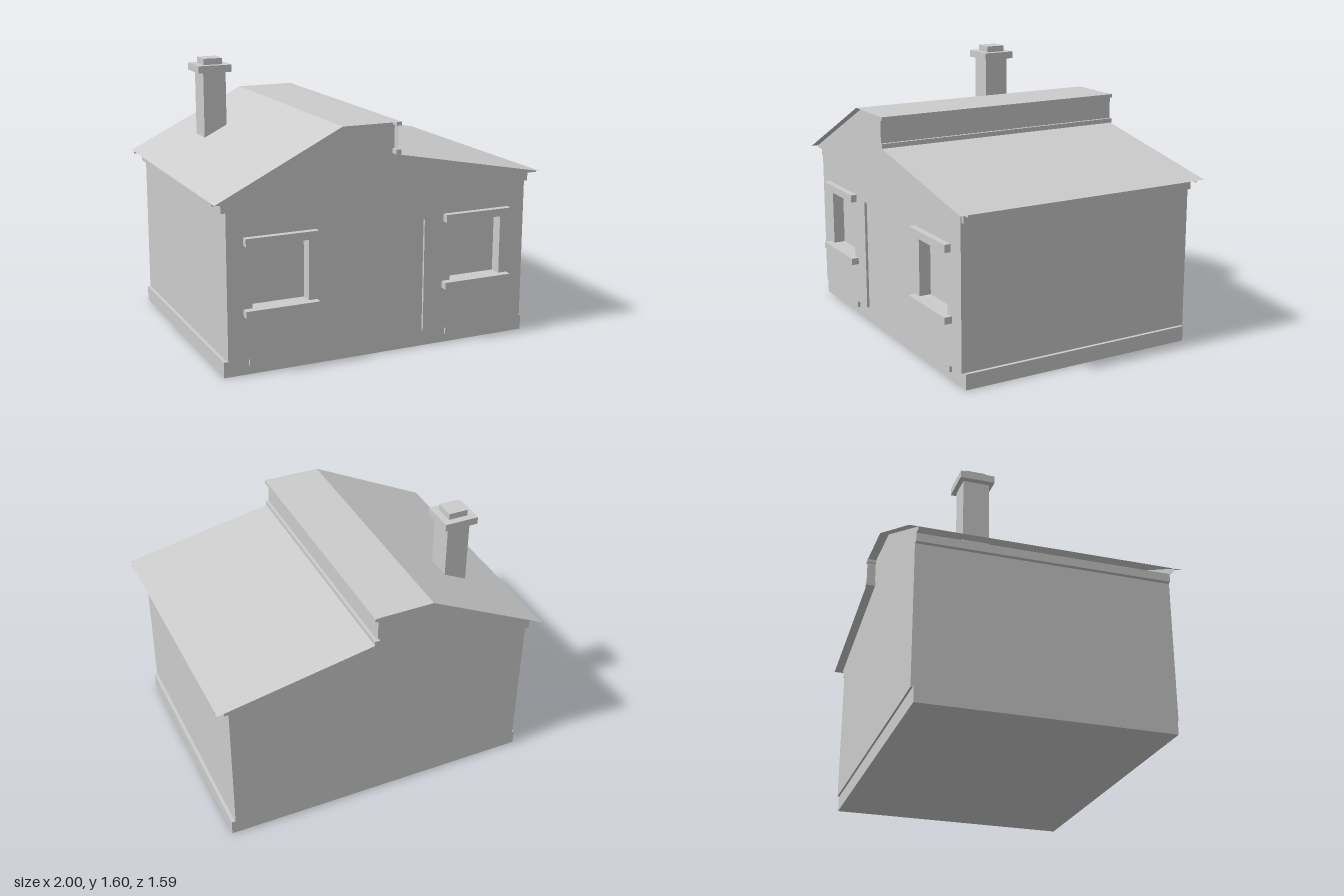
import * as THREE from 'three';

const grey = new THREE.MeshStandardMaterial({ color: 0xcccccc });
grey.name = 'plain grey';
grey.side = THREE.DoubleSide;

export function createModel() {
  const house = new THREE.Group();
  house.name = 'house';

  const add = (name, geometry) => {
    const mesh = new THREE.Mesh(geometry, grey);
    mesh.name = name;
    house.add(mesh);
    return mesh;
  };

  // Box given by its limits on each axis
  const box = (name, x0, x1, y0, y1, z0, z1) =>
    add(name, new THREE.BoxGeometry(x1 - x0, y1 - y0, z1 - z0))
      .position.set((x0 + x1) / 2, (y0 + y1) / 2, (z0 + z1) / 2);

  const points = (list) => list.map(([x, y]) => new THREE.Vector2(x, y));

  // Window openings as [left, right]
  const windows = [[-0.78, -0.45], [0.435, 0.765]];
  const wallLayer = (name, outline, z0, z1) => {
    const shape = new THREE.Shape(points(outline));
    for (const [a, b] of windows) {
      shape.holes.push(new THREE.Path(points([[a, 0.38], [a, 0.735], [b, 0.735], [b, 0.38]])));
    }
    add(name, new THREE.ExtrudeGeometry(shape, { depth: z1 - z0, bevelEnabled: false })).position.z = z0;
  };

  // Plinth and main body
  box('plinth', -0.945, 0.94, 0, 0.09, -0.725, 0.73);
  box('houseBody', -0.925, 0.92, 0.09, 0.97, -0.737, 0.675);

  // Front wall: inner layer with window recesses, outer layer also leaves the doorway open
  wallLayer('frontWallCore', [[-0.925, 0.09], [0.92, 0.09], [0.92, 0.97], [-0.925, 0.97]], 0.675, 0.73);
  wallLayer('frontWallFace', [
    [-0.925, 0.09], [-0.8, 0.09], [-0.8, 0.05], [-0.43, 0.05], [-0.43, 0.09], [-0.29, 0.09],
    [-0.29, 0.76], [0.265, 0.76], [0.265, 0.09], [0.415, 0.09], [0.415, 0.05], [0.785, 0.05],
    [0.785, 0.09], [0.92, 0.09], [0.92, 0.97], [-0.925, 0.97],
  ], 0.73, 0.745);

  // Window sills and lintels
  for (const [a, b] of windows) {
    box('windowSill', a - 0.052, b + 0.05, 0.34, 0.38, 0.675, 0.79);
    box('windowLintel', a - 0.048, b + 0.045, 0.735, 0.78, 0.675, 0.783);
  }

  // Eave boards along both sides
  box('eaveBoard', -0.95, -0.925, 0.92, 0.97, -0.737, 0.74);
  box('eaveBoard', 0.92, 0.945, 0.92, 0.97, -0.737, 0.74);

  // Thin roof sheet following one stepped profile
  const profile = [[-1, 0.98], [-0.27, 1.34], [0.065, 1.34], [0.065, 1.16], [1, 0.98]];
  const roof = [];
  for (let i = 0; i < profile.length - 1; i++) {
    const [ax, ay] = profile[i];
    const [bx, by] = profile[i + 1];
    const f = 0.79;
    roof.push(ax, ay, f, bx, by, f, bx, by, -f, ax, ay, f, bx, by, -f, ax, ay, -f);
  }
  const roofGeometry = new THREE.BufferGeometry();
  roofGeometry.setAttribute('position', new THREE.Float32BufferAttribute(roof, 3));
  roofGeometry.computeVertexNormals();
  add('roof', roofGeometry);

  // Gable panels, set in from the roof edge
  const gable = new THREE.ShapeGeometry(new THREE.Shape(points([[-1, 0.967], [1, 0.967], ...profile.slice().reverse()])));
  add('frontGable', gable).position.z = 0.746;
  const backGable = add('backGable', gable.clone().scale(-1, 1, 1).rotateY(Math.PI));
  backGable.position.z = -0.738;
  // Mirrored faces need their corner order turned back
  const index = backGable.geometry.index.array;
  for (let i = 0; i < index.length; i += 3) [index[i], index[i + 1]] = [index[i + 1], index[i]];
  backGable.geometry.computeVertexNormals();

  // Trim on the roof step
  box('upperStepTrim', 0.055, 0.085, 1.32, 1.341, -0.793, 0.793);
  box('lowerStepTrim', 0.053, 0.083, 1.16, 1.187, -0.793, 0.793);

  // Chimney
  box('chimneyShaft', -0.695, -0.555, 0.97, 1.52, -0.405, -0.25);
  box('chimneyCap', -0.73, -0.525, 1.52, 1.563, -0.432, -0.228);
  box('chimneyTop', -0.685, -0.568, 1.563, 1.6, -0.39, -0.27);

  return house;
}
